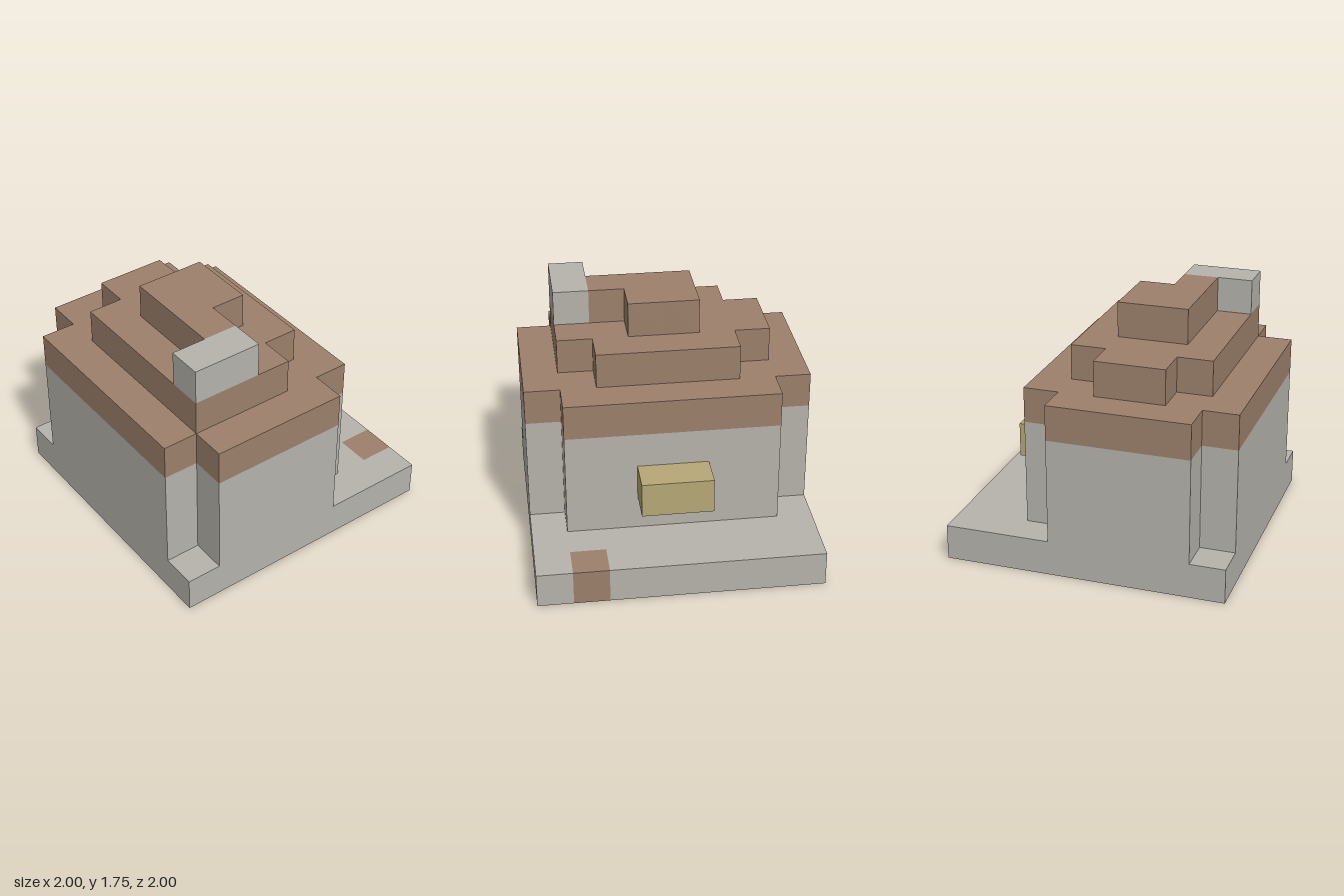
import * as THREE from 'three';

const CELL = 0.25;

const makeMaterial = (name, color) => {
  const m = new THREE.MeshStandardMaterial({ color, side: THREE.DoubleSide, flatShading: true });
  m.name = name;
  return m;
};

// Each part is a set of block ranges in cells: [x0, x1, y0, y1, z0, z1]
const PARTS = [
  { name: 'base', color: 'stone', blocks: [[0, 8, 0, 1, 0, 8]] },
  { name: 'backEdgeBlock', color: 'brown', blocks: [[6, 7, 0, 1, 0, 1]] },
  { name: 'walls', color: 'stone', blocks: [[1, 7, 1, 4, 2, 8], [0, 8, 1, 4, 3, 7]] },
  { name: 'lowerRoof', color: 'brown', blocks: [[1, 7, 4, 5, 2, 8], [0, 8, 4, 5, 3, 7]] },
  { name: 'middleRoof', color: 'brown', blocks: [[2, 6, 5, 6, 3, 7], [1, 7, 5, 6, 4, 6], [6, 7, 5, 6, 6, 7]] },
  { name: 'topRoof', color: 'brown', blocks: [[3, 5, 6, 7, 4, 6], [5, 6, 6, 7, 5, 6]] },
  { name: 'chimney', color: 'stone', blocks: [[6, 7, 6, 7, 5, 7]] },
  { name: 'backLedge', color: 'yellow', blocks: [[3, 5, 2, 3, 1, 2]] },
];

// Outward directions with two in-plane axes (u x v = normal); undersides stay open
const SIDES = [
  { n: [1, 0, 0], u: [0, 1, 0], v: [0, 0, 1] },
  { n: [-1, 0, 0], u: [0, 0, 1], v: [0, 1, 0] },
  { n: [0, 1, 0], u: [0, 0, 1], v: [1, 0, 0] },
  { n: [0, 0, 1], u: [1, 0, 0], v: [0, 1, 0] },
  { n: [0, 0, -1], u: [0, 1, 0], v: [1, 0, 0] },
];

const key = (x, y, z) => `${x},${y},${z}`;

// Mark which part fills each cell; later parts replace earlier ones
function fillCells() {
  const cells = new Map();
  PARTS.forEach((part, id) => {
    for (const [x0, x1, y0, y1, z0, z1] of part.blocks)
      for (let x = x0; x < x1; x++)
        for (let y = y0; y < y1; y++)
          for (let z = z0; z < z1; z++) cells.set(key(x, y, z), { id, p: [x, y, z] });
  });
  return cells;
}

// Hollow skin of one part: only faces that touch open air
function skinGeometry(cells, id) {
  const positions = [], normals = [], index = [];
  for (const cell of cells.values()) {
    if (cell.id !== id) continue;
    for (const { n, u, v } of SIDES) {
      if (cells.has(key(...cell.p.map((c, k) => c + n[k])))) continue;
      const first = positions.length / 3;
      for (const [a, b] of [[0, 0], [1, 0], [1, 1], [0, 1]]) {
        const corner = cell.p.map((c, k) => c + Math.max(n[k], 0) + a * u[k] + b * v[k]);
        positions.push(corner[0] * CELL - 1, corner[1] * CELL, corner[2] * CELL - 1);
        normals.push(...n);
      }
      index.push(first, first + 1, first + 2, first, first + 2, first + 3);
    }
  }
  const g = new THREE.BufferGeometry();
  g.setAttribute('position', new THREE.Float32BufferAttribute(positions, 3));
  g.setAttribute('normal', new THREE.Float32BufferAttribute(normals, 3));
  g.setIndex(index);
  return g;
}

export function createModel() {
  const materials = {
    stone: makeMaterial('stone', 0xb6b3ac),
    brown: makeMaterial('brown', 0x9c806b),
    yellow: makeMaterial('yellow', 0xb7a877),
  };
  const group = new THREE.Group();
  group.name = 'blockHouse';
  const cells = fillCells();
  PARTS.forEach((part, id) => {
    const mesh = new THREE.Mesh(skinGeometry(cells, id), materials[part.color]);
    mesh.name = part.name;
    group.add(mesh);
  });
  return group;
}
